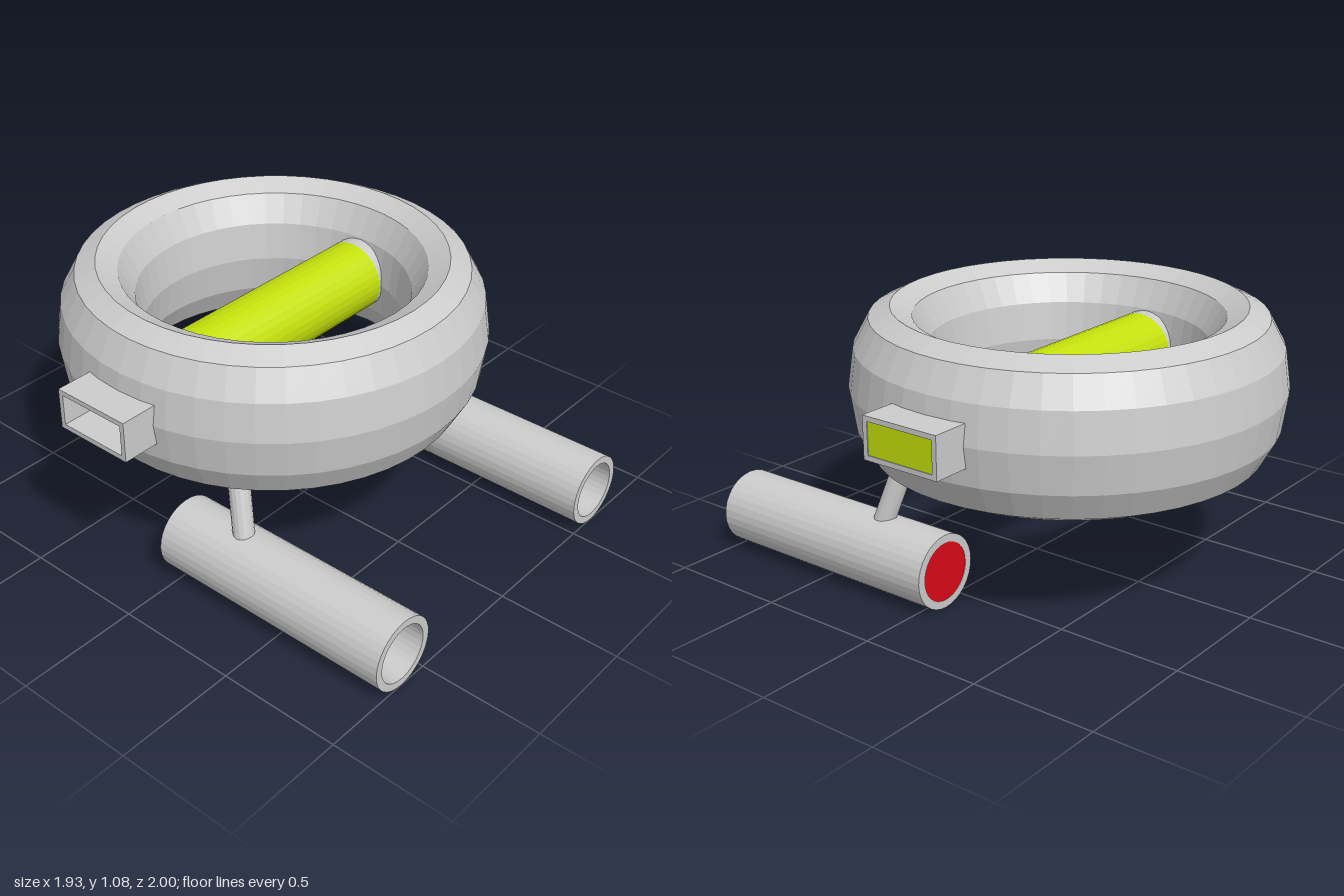
import * as THREE from 'three';

const grey = new THREE.MeshStandardMaterial({ color: 0xcccccc, flatShading: true });
const lime = new THREE.MeshStandardMaterial({ color: 0xc4e00c, flatShading: true, side: THREE.DoubleSide });
const red = new THREE.MeshStandardMaterial({ color: 0xd80a18, side: THREE.DoubleSide });

const RING_Y = 0.77, RING_Z = -0.155;

function add(parent, name, geometry, material = grey) {
  const mesh = new THREE.Mesh(geometry, material);
  mesh.name = name;
  parent.add(mesh);
  return mesh;
}

// Round bar between two points
function addStrut(parent, name, from, to, radius) {
  const dir = to.clone().sub(from);
  const mesh = add(parent, name, new THREE.CylinderGeometry(radius, radius, dir.length(), 16));
  mesh.position.copy(from).addScaledVector(dir, 0.5);
  mesh.quaternion.setFromUnitVectors(new THREE.Vector3(0, 1, 0), dir.normalize());
}

// Rectangular frame, open through the middle, running along z
function frameGeometry(w, h, border, depth) {
  const rect = (path, a, b) => path.moveTo(-a, -b).lineTo(a, -b).lineTo(a, b).lineTo(-a, b).closePath();
  const shape = rect(new THREE.Shape(), w / 2, h / 2);
  shape.holes.push(rect(new THREE.Path(), w / 2 - border, h / 2 - border));
  return new THREE.ExtrudeGeometry(shape, { depth, bevelEnabled: false });
}

export function createModel() {
  const model = new THREE.Group();
  model.name = 'ringCraft';

  // Tall ring hull: a torus with a stretched 12-sided section
  const ring = add(model, 'ringHull', new THREE.TorusGeometry(0.68, 0.165, 12, 48).rotateX(-Math.PI / 2));
  ring.scale.y = 0.305 / 0.165;
  ring.position.set(0, RING_Y, RING_Z);

  // Core rod across the opening, with grey sockets sunk into the ring
  const core = add(model, 'coreRod', new THREE.CylinderGeometry(0.146, 0.146, 0.968, 32, 1, true).rotateZ(Math.PI / 2), lime);
  core.position.set(0, RING_Y, RING_Z);

  for (const s of [1, -1]) {
    const side = s > 0 ? 'left' : 'right';

    const socket = add(model, side + 'CoreSocket', new THREE.CylinderGeometry(0.146, 0.146, 0.126, 32).rotateZ(Math.PI / 2));
    socket.position.set(s * 0.547, RING_Y, RING_Z);

    // Side box
    const frame = add(model, side + 'SideBox', frameGeometry(0.335, 0.165, 0.02, 0.215).rotateY(s * Math.PI / 2));
    frame.position.set(s * 0.75, RING_Y, RING_Z);

    // Engine: hollow tube open at the front, closed at the back by a red disc
    const engine = new THREE.Group();
    engine.name = side + 'Engine';
    engine.position.set(s * 0.625, 0.148, 0);
    model.add(engine);
    const profile = [[0.148, -0.05], [0.148, 1], [0.117, 1], [0.117, -0.05], [0.148, -0.05]]
      .map(([r, y]) => new THREE.Vector2(r, y));
    add(engine, side + 'EngineTube', new THREE.LatheGeometry(profile, 32).rotateX(Math.PI / 2));
    const disc = add(engine, side + 'EngineDisc', new THREE.CircleGeometry(0.118, 32).rotateY(Math.PI), red);
    disc.position.z = -0.048;

    // Strut leaning up from the engine into the ring
    addStrut(model, side + 'Strut',
      new THREE.Vector3(s * 0.633, 0.25, 0.26), new THREE.Vector3(s * 0.56, 0.6, 0.157), 0.042);
  }

  // Lit panel in the left box
  const panel = add(model, 'leftPanel', new THREE.PlaneGeometry(0.295, 0.125).rotateY(Math.PI / 2), lime);
  panel.position.set(0.962, RING_Y, RING_Z);

  return model;
}
